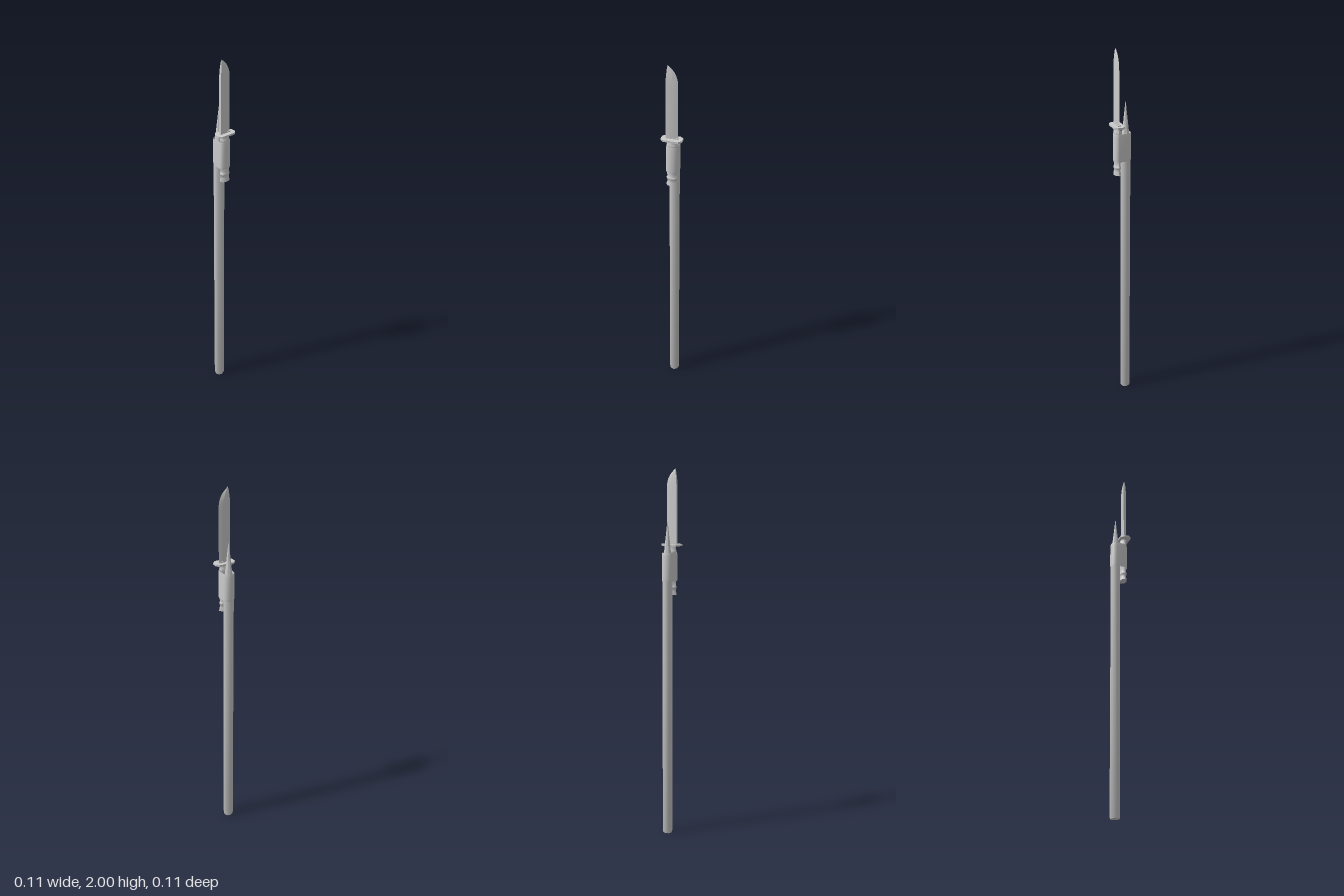
import * as THREE from 'three';
import { toCreasedNormals } from 'three/addons/utils/BufferGeometryUtils.js';

const SHAFT_X = -0.025, KNIFE_X = 0.021;

// Skin rings of [x, y, z] points, counter-clockwise seen from above; optional end caps.
function loft(rings, capped) {
  const n = rings[0].length, index = [];
  for (let r = 0; r < rings.length - 1; r++) {
    for (let i = 0; i < n; i++) {
      const a = r * n + i, b = r * n + (i + 1) % n;
      index.push(a, b, b + n, a, b + n, a + n);
    }
  }
  if (capped) {
    const top = (rings.length - 1) * n;
    for (let i = 1; i < n - 1; i++) index.push(0, i + 1, i, top, top + i, top + i + 1);
  }
  const geometry = new THREE.BufferGeometry();
  geometry.setAttribute('position', new THREE.Float32BufferAttribute(rings.flat(2), 3));
  geometry.setIndex(index);
  return geometry;
}

// Turned part with eight sides and crisp profile edges.
function turned(profile, xScale = 1) {
  const points = profile.map(([r, y]) => new THREE.Vector2(r, y));
  const geometry = new THREE.LatheGeometry(points, 8).scale(xScale, 1, 1);
  return toCreasedNormals(geometry, 0.85);
}

export function createModel() {
  const group = new THREE.Group();
  const add = (name, geometry, x = 0, y = 0, options = {}) => {
    const material = new THREE.MeshStandardMaterial({ color: 0xcccccc, ...options });
    const mesh = new THREE.Mesh(geometry, material);
    mesh.name = name;
    mesh.position.set(x, y, 0);
    group.add(mesh);
  };

  // Pole with a bevelled foot, and its sharpened end
  add('shaft', turned([[0, 0], [0.024, 0], [0.028, 0.01], [0.028, 1.49], [0, 1.49]]), SHAFT_X);
  add('sharpenedTip', new THREE.ConeGeometry(0.028, 0.25, 8), SHAFT_X, 1.615, { flatShading: true });

  // Oval knife handle: flared pommel, grooves, grip and collar
  add('handle', turned([
    [0, 1.34], [0.03, 1.34], [0.03, 1.346], [0.025, 1.36], [0.025, 1.374],
    [0.029, 1.378], [0.029, 1.386], [0.025, 1.39], [0.027, 1.41], [0.027, 1.565],
    [0.03, 1.572], [0.026, 1.58], [0.026, 1.602], [0, 1.602],
  ], 0.66), KNIFE_X);

  // Binding that wraps pole and handle together
  const outline = [];
  for (let i = 0; i <= 8; i++) {
    const a = Math.PI / 2 - i * Math.PI / 8;
    outline.push([KNIFE_X + 0.021 * Math.cos(a), 0.032 * Math.sin(a)]);
  }
  for (let i = 0; i <= 8; i++) {
    const a = -Math.PI / 2 - i * Math.PI / 8;
    outline.push([SHAFT_X + 0.029 * Math.cos(a), 0.031 * Math.sin(a)]);
  }
  const bandRings = [[1.416, 0.97], [1.43, 1], [1.55, 1], [1.567, 0.96]].map(([y, s]) =>
    outline.map(([x, z]) => [-0.005 + (x + 0.005) * s, y, z * s]));
  const band = loft(bandRings, false);
  band.computeVertexNormals();
  add('binding', band, 0, 0, { side: THREE.DoubleSide });

  // Cross guard: flat plate with cut corners
  const w = 0.03, d = 0.055, c = 0.016;
  const plate = new THREE.Shape([
    [w, -d + c], [w, d - c], [w - c, d], [-w + c, d],
    [-w, d - c], [-w, -d + c], [-w + c, -d], [w - c, -d],
  ].map(([x, y]) => new THREE.Vector2(x, y)));
  const guard = new THREE.ExtrudeGeometry(plate, { depth: 0.01, bevelEnabled: false });
  add('guard', guard.rotateX(-Math.PI / 2), 0.022, 1.601);

  // Blade seat on the guard
  add('bladeSeat', new THREE.BoxGeometry(0.015, 0.006, 0.066), KNIFE_X, 1.613);

  // Single-edged blade: blunt spine at +z, ground edge at -z
  const stations = [ // height, spine z, edge z, half thickness
    [1.61, 0.031, -0.031, 0.007], [1.9, 0.031, -0.031, 0.007],
    [1.925, 0.03, -0.029, 0.007], [1.95, 0.028, -0.022, 0.0065],
    [1.97, 0.026, -0.011, 0.005], [1.988, 0.024, 0.006, 0.003],
    [2.0, 0.021, 0.019, 0.0005],
  ];
  const bladeRings = stations.map(([y, spine, edge, t]) => {
    const shoulder = spine + (edge - spine) * 0.6;
    return [[-t, y, spine], [t, y, spine], [t, y, shoulder], [0, y, edge], [-t, y, shoulder]];
  });
  add('blade', toCreasedNormals(loft(bladeRings, true).toNonIndexed(), 0.3), KNIFE_X);

  return group;
}
